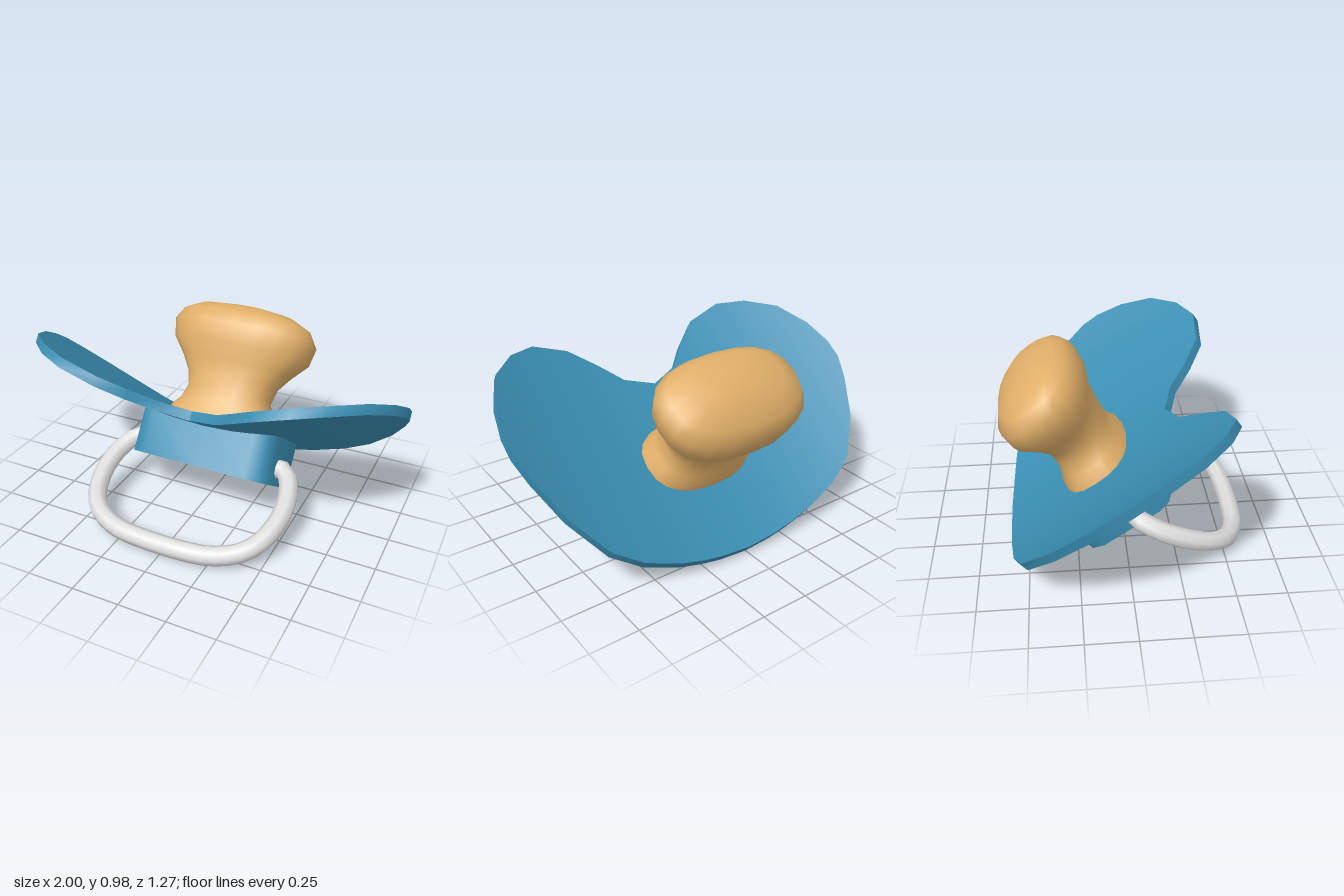
import * as THREE from 'three';
import { mergeVertices, toCreasedNormals } from 'three/addons/utils/BufferGeometryUtils.js';

function flatMaterial(name, color) {
  const m = new THREE.MeshStandardMaterial({ color });
  m.name = name;
  return m;
}

function addMesh(parent, name, geometry, material) {
  const mesh = new THREE.Mesh(geometry, material);
  mesh.name = name;
  parent.add(mesh);
}

// Shield: a box whose columns follow the outline and bend up towards the wings
function shieldGeometry() {
  // [x, lower edge, upper edge], mirrored in x
  const stations = [
    [0, -0.466, 0.55], [0.16, -0.457, 0.615], [0.27, -0.443, 0.736],
    [0.4, -0.418, 0.851], [0.59, -0.36, 0.896], [0.74, -0.27, 0.842],
    [0.88, -0.07, 0.72], [0.965, 0.14, 0.54], [1, 0.27, 0.38],
  ];
  const n = stations.length - 1;
  const g = new THREE.BoxGeometry(2, 1, 1, 2 * n, 1, 1);
  const p = g.attributes.position;
  for (let i = 0; i < p.count; i++) {
    const k = Math.round(p.getX(i) * n);
    const [x, low, high] = stations[Math.abs(k)];
    const y = (p.getY(i) > 0 ? 0.38 : 0.33) + 0.26 * x * x;
    p.setXYZ(i, Math.sign(k) * x, y, p.getZ(i) > 0 ? high : low);
  }
  return toCreasedNormals(g, 0.7);
}

// Teat: oval sections stacked along the axis
function teatGeometry() {
  // [height, centre z, half depth, half width], from the tip down
  const rows = [
    [1.022, 0.14, 0, 0], [1.02, 0.14, 0.07, 0.13], [0.998, 0.14, 0.15, 0.27],
    [0.955, 0.122, 0.212, 0.365], [0.89, 0.108, 0.253, 0.405], [0.79, 0.1, 0.247, 0.385],
    [0.7, 0.108, 0.196, 0.31], [0.62, 0.118, 0.172, 0.255], [0.54, 0.112, 0.166, 0.235],
    [0.47, 0.105, 0.175, 0.26], [0.42, 0.1, 0.197, 0.305], [0.36, 0.1, 0.205, 0.315],
  ];
  const n = rows.length - 1;
  const g = new THREE.CylinderGeometry(1, 1, 1, 20, n, true);
  const p = g.attributes.position;
  const round = (v) => Math.sign(v) * Math.pow(Math.abs(v), 0.82);
  for (let i = 0; i < p.count; i++) {
    const [y, cz, hz, hx] = rows[Math.round((0.5 - p.getY(i)) * n)];
    p.setXYZ(i, hx * round(p.getX(i)), y, cz + hz * round(p.getZ(i)));
  }
  g.deleteAttribute('uv');
  g.deleteAttribute('normal');
  const smooth = mergeVertices(g, 1e-4);
  smooth.computeVertexNormals();
  return smooth;
}

// Hub: rounded block below the shield
function hubGeometry() {
  const half = [[0, -0.167], [0.29, -0.167], [0.36, -0.13], [0.39, -0.06],
    [0.39, 0.28], [0.36, 0.345], [0.29, 0.372], [0, 0.358]];
  const left = half.slice(1, -1).reverse().map(([x, y]) => [-x, y]);
  const outline = [...half, ...left].map(([x, y]) => new THREE.Vector2(x, y));
  const g = new THREE.ExtrudeGeometry(new THREE.Shape(outline), { depth: 0.256, bevelEnabled: false });
  g.rotateX(Math.PI / 2).translate(0, 0.374, 0);
  return toCreasedNormals(g, 0.9);
}

// Handle: tube in a sloping plane, both ends sunk into the hub
function handleGeometry() {
  const half = [[0.36, 0.275], [0.43, 0.272], [0.49, 0.235], [0.51, 0.18],
    [0.475, 0.12], [0.4, 0.083], [0.27, 0.06], [0.12, 0.053]];
  const place = (side) => ([x, y]) => new THREE.Vector3(side * x, y, 0.022 + (0.275 - y) * 2.55);
  const points = [...half.map(place(1)), ...half.map(place(-1)).reverse()];
  return new THREE.TubeGeometry(new THREE.CatmullRomCurve3(points), 36, 0.05, 8, false);
}

export function createModel() {
  const blue = flatMaterial('blue plastic', 0x3a8eb2);
  const tan = flatMaterial('tan rubber', 0xe0af69);
  const white = flatMaterial('white plastic', 0xdedede);

  const model = new THREE.Group();
  model.name = 'pacifier';

  // Shield, hub and teat share one axis that leans back
  const body = new THREE.Group();
  body.name = 'body';
  body.rotation.x = -0.614;
  addMesh(body, 'shield', shieldGeometry(), blue);
  addMesh(body, 'hub', hubGeometry(), blue);
  addMesh(body, 'teat', teatGeometry(), tan);
  model.add(body);

  addMesh(model, 'handle', handleGeometry(), white);
  return model;
}
